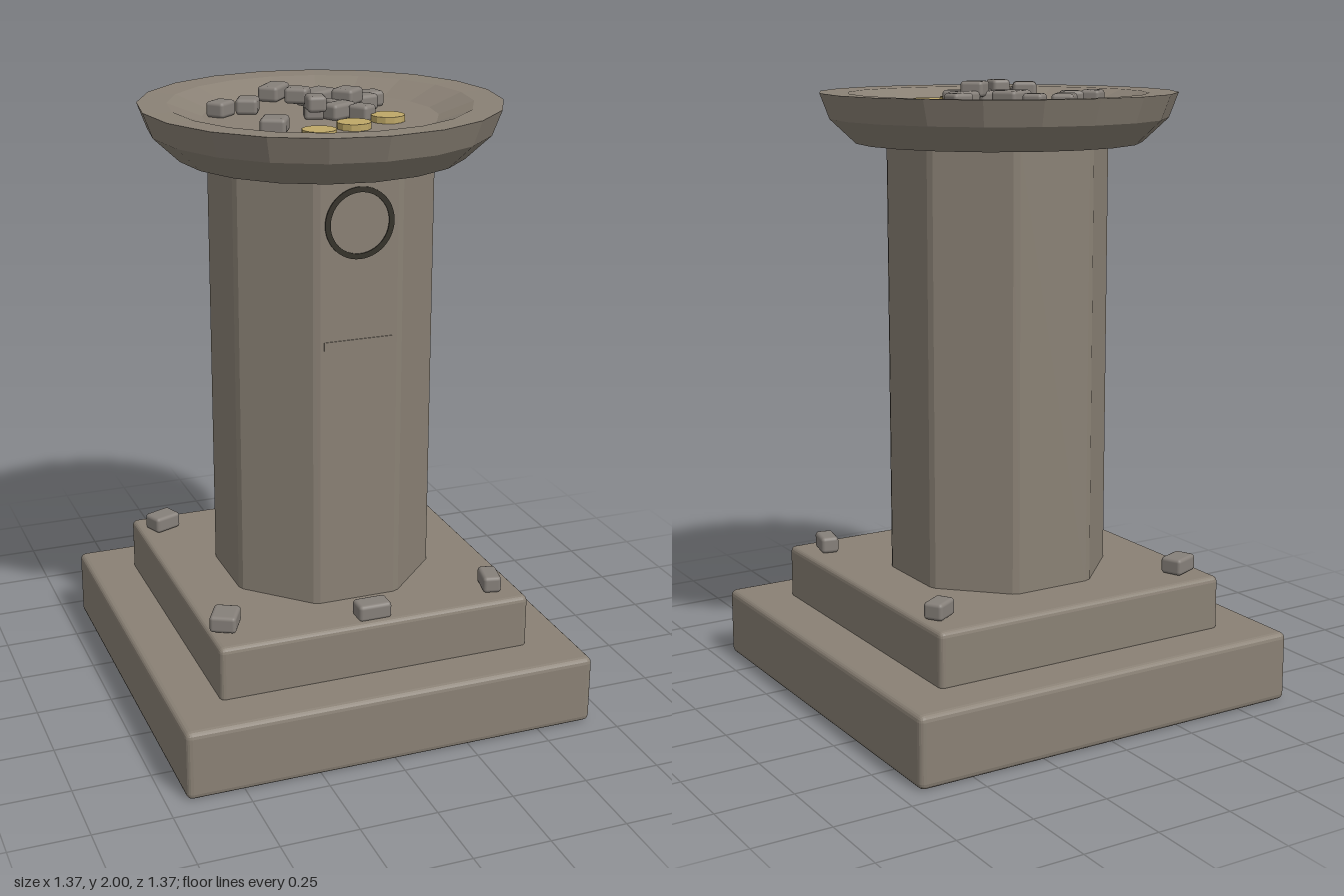
import * as THREE from 'three';
import { RoundedBoxGeometry } from 'three/addons/geometries/RoundedBoxGeometry.js';

export function createModel() {
  const model = new THREE.Group();
  model.name = 'stoneOfferingPedestal';

  const material = (name, color, flatShading = false) => {
    const m = new THREE.MeshStandardMaterial({ color });
    m.name = name;
    m.flatShading = flatShading;
    return m;
  };
  const stone = material('stone', 0x8a8175, true);
  const rubble = material('rubble', 0x86807a);
  const gold = material('gold', 0xbfa868, true);
  const carving = material('darkCarving', 0x35322a);

  const add = (name, geometry, mat, x = 0, y = 0, z = 0, parent = model) => {
    const mesh = new THREE.Mesh(geometry, mat);
    mesh.name = name;
    mesh.position.set(x, y, z);
    parent.add(mesh);
    return mesh;
  };

  // Two square steps
  add('lowerStep', new RoundedBoxGeometry(1.37, 0.23, 1.37, 2, 0.02), stone, 0, 0.115, 0);
  add('upperStep', new RoundedBoxGeometry(1.05, 0.19, 1.05, 2, 0.018), stone, 0, 0.31, 0);

  // Octagonal column with chamfered corners
  const apothem = 0.335, half = apothem * Math.tan(Math.PI / 8), chamfer = 0.012;
  const outline = [];
  for (let i = 0; i < 8; i++) {
    const a = i * Math.PI / 4;
    for (const t of [-half + chamfer, half - chamfer]) {
      outline.push(new THREE.Vector2(
        apothem * Math.cos(a) - t * Math.sin(a),
        apothem * Math.sin(a) + t * Math.cos(a)));
    }
  }
  const columnGeometry = new THREE.ExtrudeGeometry(new THREE.Shape(outline), { depth: 1.42, bevelEnabled: false });
  columnGeometry.rotateX(-Math.PI / 2);
  add('column', columnGeometry, stone, 0, 0.395, 0);

  // Shallow faceted bowl
  const bowlProfile = [
    [0, 1.807], [0.46, 1.807], [0.543, 1.885], [0.573, 1.965],
    [0.48, 1.962], [0.37, 1.92], [0, 1.92],
  ].map(([r, y]) => new THREE.Vector2(r, y));
  add('bowl', new THREE.LatheGeometry(bowlProfile, 20), stone);

  // Plain ring and engraved divider on the column front
  const ring = new THREE.Shape().absarc(0, 0, 0.112, 0, Math.PI * 2, false);
  ring.holes.push(new THREE.Path().absarc(0, 0, 0.095, 0, Math.PI * 2, true));
  add('ringInlay', new THREE.ExtrudeGeometry(ring, { depth: 0.004, bevelEnabled: false, curveSegments: 24 }),
    carving, 0, 1.655, apothem);
  add('dividerBar', new THREE.BoxGeometry(0.23, 0.026, 0.006), stone, 0, 1.275, apothem);

  // Small rounded stones: x, top y, z, width, depth, turn in degrees
  const scatter = (name, height, list) => {
    const group = new THREE.Group();
    group.name = name;
    model.add(group);
    for (const [x, top, z, w, d, turn] of list) {
      const mesh = add('looseStone', new RoundedBoxGeometry(w, height, d, 2, 0.012),
        rubble, x, top - height / 2, z, group);
      mesh.rotation.y = THREE.MathUtils.degToRad(turn);
    }
  };
  scatter('stepRubble', 0.055, [
    [-0.44, 0.462, -0.415, 0.10, 0.075, 22],
    [0.455, 0.462, -0.395, 0.09, 0.065, 32],
    [-0.465, 0.465, 0.39, 0.085, 0.10, -28],
    [0.435, 0.46, 0.415, 0.06, 0.10, -12],
    [0, 0.455, 0.466, 0.11, 0.07, 0],
  ]);
  scatter('bowlRubble', 0.05, [
    [-0.05, 1.97, -0.305, 0.12, 0.07, 50],
    [0.01, 1.968, -0.23, 0.065, 0.065, 40],
    [0.04, 1.975, -0.145, 0.12, 0.085, 30],
    [-0.048, 1.998, -0.08, 0.075, 0.065, -32],
    [-0.2, 1.968, -0.12, 0.07, 0.08, -25],
    [-0.295, 1.968, -0.1, 0.08, 0.065, 40],
    [0.205, 1.968, -0.1, 0.075, 0.065, 8],
    [0.15, 1.97, -0.037, 0.10, 0.06, 15],
    [0.05, 1.968, 0, 0.065, 0.06, 10],
    [0.09, 2.0, -0.005, 0.085, 0.075, 42],
    [0.035, 1.97, 0.065, 0.10, 0.06, 28],
    [-0.037, 1.968, 0.04, 0.065, 0.055, -15],
    [-0.045, 2.0, 0.075, 0.06, 0.075, -10],
    [0.095, 1.968, 0.11, 0.06, 0.07, 35],
    [-0.225, 1.97, 0.21, 0.08, 0.09, -28],
  ]);

  // Gold discs lying in the bowl
  for (const [x, z] of [[-0.115, 0.295], [0.022, 0.228], [0.16, 0.16]]) {
    add('goldDisc', new THREE.CylinderGeometry(0.053, 0.053, 0.02, 12), gold, x, 1.931, z);
  }

  return model;
}
